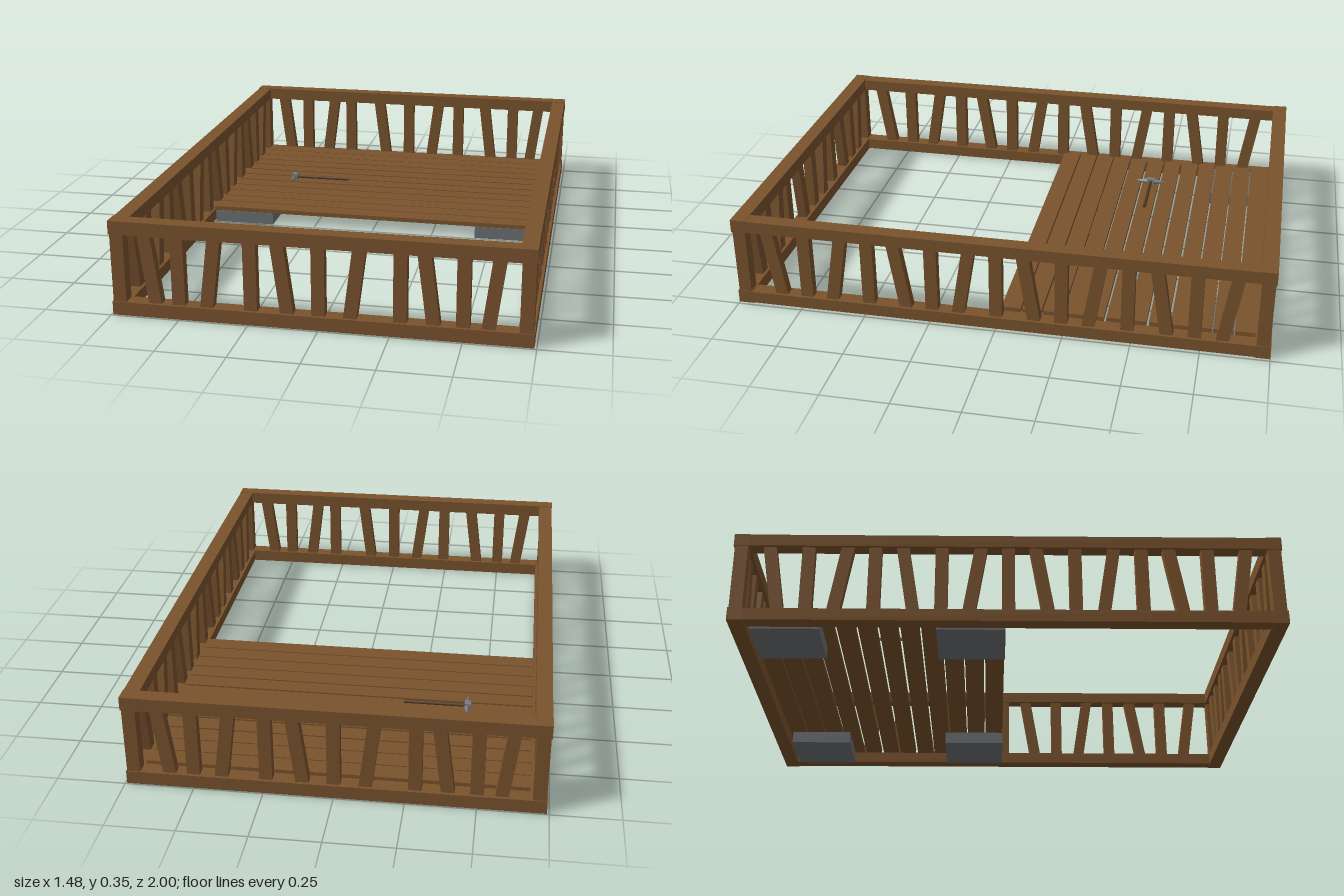
import * as THREE from 'three';

const wood = new THREE.MeshStandardMaterial({ name: 'wood', color: 0x7a532d });
const darkWood = new THREE.MeshStandardMaterial({ name: 'darkWood', color: 0x553a20 });
const stone = new THREE.MeshStandardMaterial({ name: 'stone', color: 0x6c7074 });
const steel = new THREE.MeshStandardMaterial({ name: 'steel', color: 0x777b82, flatShading: true });

function box(parent, name, mat, size, pos) {
  const mesh = new THREE.Mesh(new THREE.BoxGeometry(...size), mat);
  mesh.name = name;
  mesh.position.set(...pos);
  parent.add(mesh);
  return mesh;
}

// Upright slat whose top and bottom centres may differ, so it leans along the fence
function picket(parent, bottom, top) {
  const g = new THREE.BoxGeometry(0.047, 0.27, 0.036);
  const p = g.attributes.position;
  for (let i = 0; i < p.count; i++) p.setX(i, p.getX(i) + (p.getY(i) > 0 ? top : bottom));
  g.computeVertexNormals();
  const mesh = new THREE.Mesh(g, wood);
  mesh.name = 'picket';
  mesh.position.y = 0.18;
  parent.add(mesh);
}

// One fence side along local x: two rails with pickets between them
function fence(name, length, railHeight, pickets) {
  const side = new THREE.Group();
  side.name = name;
  box(side, 'bottomRail', wood, [length, railHeight, 0.057], [0, 0.028, 0]);
  box(side, 'topRail', wood, [length, railHeight, 0.057], [0, 0.33, 0]);
  for (const [bottom, top] of pickets) picket(side, bottom, top);
  return side;
}

export function createModel() {
  const model = new THREE.Group();
  model.name = 'fencedDeck';

  // Short sides, the back being the front turned half round
  const shortPickets = [
    [-0.585, -0.62], [-0.5, -0.5], [-0.4, -0.365], [-0.24, -0.24], [-0.11, -0.145], [0, 0],
    [0.11, 0.145], [0.285, 0.285], [0.4, 0.365], [0.5, 0.5], [0.585, 0.62],
  ];
  for (const s of [1, -1]) {
    const side = fence(s > 0 ? 'frontFence' : 'backFence', 1.484, 0.05, shortPickets);
    side.position.z = s * 0.9715;
    side.rotation.y = s > 0 ? 0 : Math.PI;
    model.add(side);
  }

  // Long sides: straight pickets alternate with leaning ones
  const longPickets = [];
  for (let i = 1; i < 16; i++) {
    const x = -0.97 + i * 0.12125;
    const lean = i % 2 ? (i % 4 === 1 ? 0.022 : -0.022) : 0;
    longPickets.push([x + lean, x - lean]);
  }
  for (const s of [1, -1]) {
    const side = fence(s > 0 ? 'leftFence' : 'rightFence', 1.94, 0.046, longPickets);
    side.position.x = s * 0.7125;
    side.rotation.y = s * Math.PI / 2;
    model.add(side);
  }

  // Corner posts
  for (const x of [-1, 1]) for (const z of [-1, 1]) {
    box(model, 'cornerPost', wood, [0.048, 0.29, 0.048], [x * 0.715, 0.18, z * 0.972]);
  }

  // Deck planks over the back half
  const deck = new THREE.Group();
  deck.name = 'deck';
  const pitch = 0.078;
  for (let i = 0; i < 12; i++) {
    const gap = i >= 3 && i <= 7 ? 0.009 : 0.005;
    box(deck, 'plank', wood, [1.365, 0.017, pitch - gap], [0, 0.058, -0.945 + (i + 0.5) * pitch]);
  }
  model.add(deck);

  // Foundation stones under the deck corners
  for (const x of [-0.555, 0.555]) for (const z of [-0.805, -0.135]) {
    box(model, 'foundationStone', stone, [0.25, 0.049, 0.25], [x, 0.0245, z]);
  }

  // Pickaxe lying on the deck
  const pickaxe = new THREE.Group();
  pickaxe.name = 'pickaxe';
  const handle = new THREE.Mesh(new THREE.CylinderGeometry(0.007, 0.007, 0.25, 8), darkWood);
  handle.name = 'pickaxeHandle';
  handle.rotation.z = Math.PI / 2;
  handle.position.x = 0.12;
  pickaxe.add(handle);
  box(pickaxe, 'pickaxeSocket', steel, [0.024, 0.026, 0.03], [0, 0, 0]);
  for (const s of [1, -1]) {
    const spike = new THREE.Mesh(new THREE.CylinderGeometry(0.002, 0.013, 0.05, 4), steel);
    spike.name = 'pickaxeSpike';
    spike.rotation.x = s * Math.PI / 2;
    spike.position.z = s * 0.039;
    pickaxe.add(spike);
  }
  pickaxe.position.set(-0.437, 0.08, -0.44);
  model.add(pickaxe);

  return model;
}
